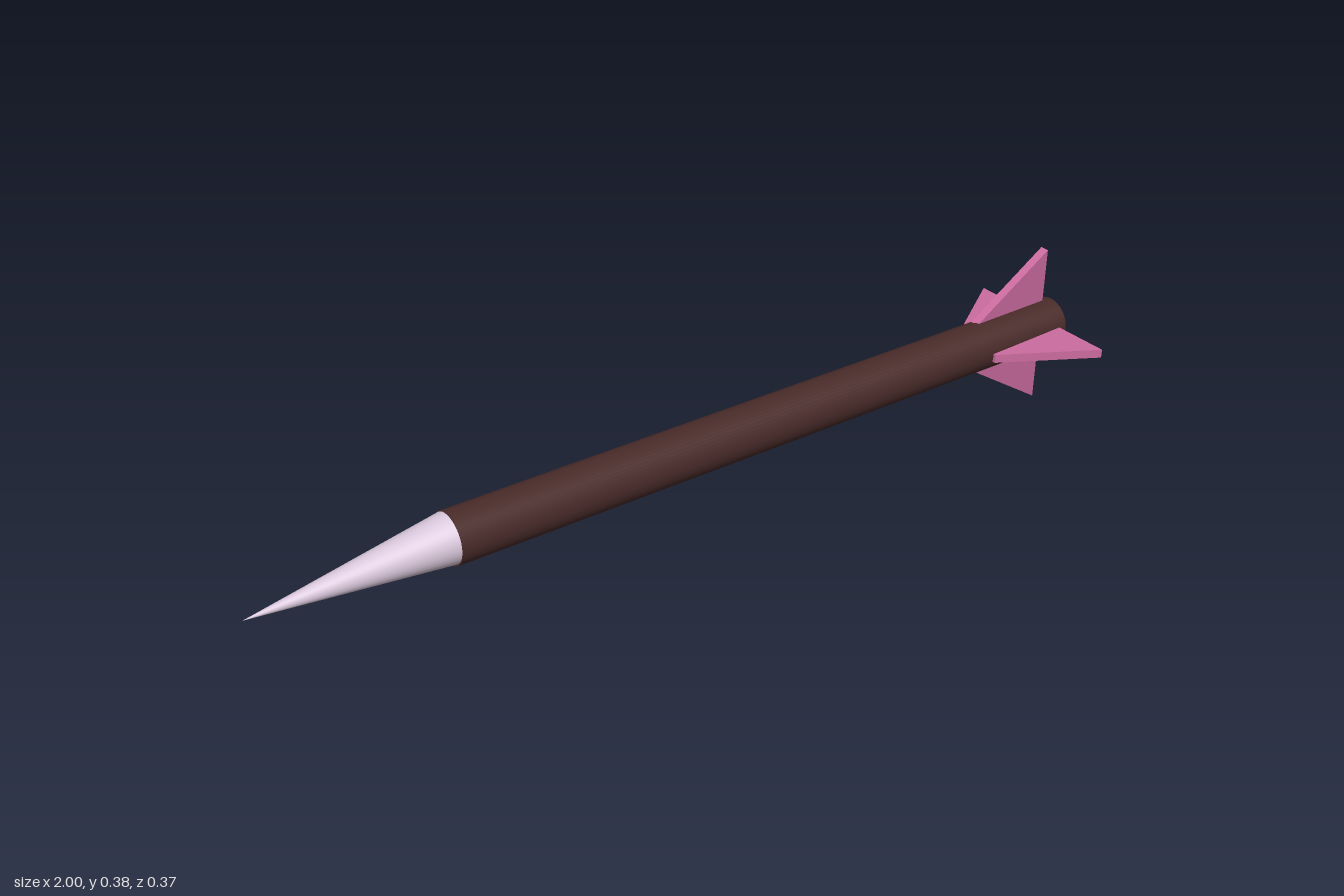
import * as THREE from 'three';

const V = (x, y, z) => new THREE.Vector3(x, y, z);

export function createModel() {
  const model = new THREE.Group();
  const add = (name, geometry, color) => {
    const mesh = new THREE.Mesh(geometry, new THREE.MeshStandardMaterial({ color }));
    mesh.name = name;
    model.add(mesh);
    return mesh;
  };
  // Centre a y-axis geometry between two points, its top end at b
  const span = (mesh, a, b) => {
    mesh.position.copy(a).lerp(b, 0.5);
    mesh.quaternion.setFromUnitVectors(V(0, 1, 0), b.clone().sub(a).normalize());
  };

  // Slightly tilted body tube
  const front = V(-0.58, 0.241, -0.026), rear = V(0.996, 0.196, 0.003);
  const radius = 0.055;
  const body = add('body', new THREE.CylinderGeometry(radius, radius, front.distanceTo(rear), 48), 0x4a2c2a);
  span(body, rear, front);

  // Level nose cone
  const tip = V(-1, 0.243, -0.027), base = V(-0.577, 0.242, -0.026);
  const nose = add('noseCone', new THREE.ConeGeometry(0.053, base.distanceTo(tip), 48), 0xdccade);
  span(nose, base, tip);

  // Four swept fins: y is the distance out from the tail axis
  const thickness = 0.02;
  const fin = (name, root, span_, y, z, turn) => {
    const shape = new THREE.Shape([
      new THREE.Vector2(0.77, 0.02), new THREE.Vector2(0.975, 0.02),
      new THREE.Vector2(0.975, span_), new THREE.Vector2(0.77, root),
    ]);
    const geometry = new THREE.ExtrudeGeometry(shape, { depth: thickness, bevelEnabled: false });
    geometry.translate(0, 0, -thickness / 2);
    const mesh = add(name, geometry, 0xcc6ca0);
    mesh.position.set(0, y, z);
    mesh.rotation.x = turn;
  };
  fin('topFin', 0.066, 0.189, 0.189, -0.012, 0);
  fin('bottomFin', 0.052, 0.189, 0.189, -0.012, Math.PI);
  fin('frontFin', 0.059, 0.186, 0.197, 0, Math.PI / 2);
  fin('backFin', 0.059, 0.186, 0.197, 0, -Math.PI / 2);

  return model;
}
